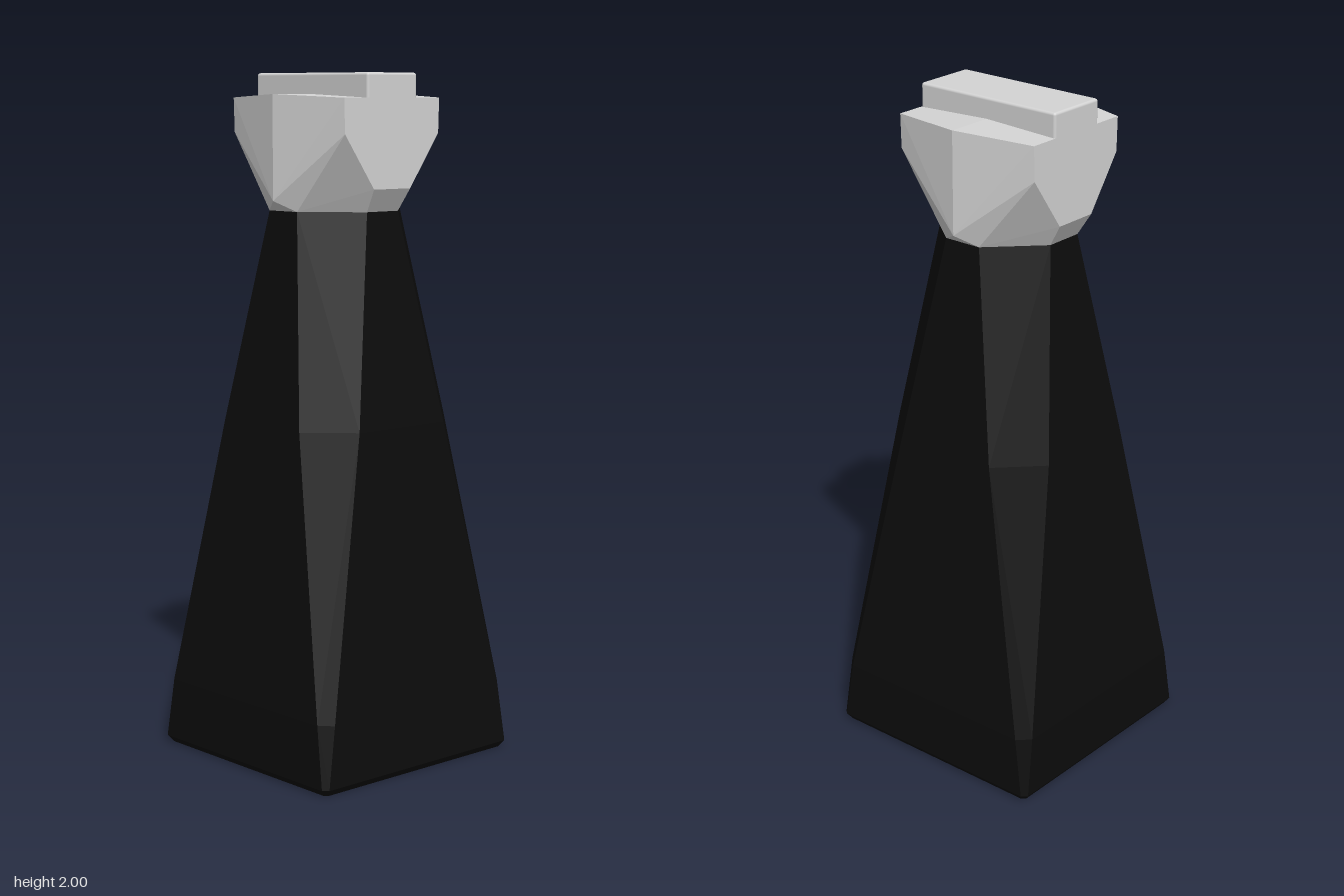
import * as THREE from 'three';
import { ConvexGeometry } from 'three/addons/geometries/ConvexGeometry.js';
import { RoundedBoxGeometry } from 'three/addons/geometries/RoundedBoxGeometry.js';

const black = new THREE.MeshStandardMaterial({ color: 0x0c0c0c });
black.name = 'black';
const lightGrey = new THREE.MeshStandardMaterial({ color: 0xd4d4d4 });
lightGrey.name = 'light grey';

// Mirrors each point in x and z
function mirrored(points) {
  const out = [];
  for (const [x, y, z] of points)
    for (const sx of x ? [1, -1] : [1])
      for (const sz of z ? [1, -1] : [1])
        out.push(new THREE.Vector3(x * sx, y, z * sz));
  return out;
}

function addMesh(group, name, geometry, material) {
  const mesh = new THREE.Mesh(geometry, material);
  mesh.name = name;
  group.add(mesh);
  return mesh;
}

export function createModel() {
  const model = new THREE.Group();
  model.name = 'taperedTower';

  // Body: square foot whose corners are cut away towards an octagonal neck
  const rings = [ // height, half width, half length of the flat side
    [0, 0.352, 0.34], [0.02, 0.367, 0.352], [0.2, 0.36, 0.325],
    [1.0, 0.285, 0.165], [1.61, 0.2, 0.06],
  ];
  const bodyPoints = rings.flatMap(([y, h, f]) => [[h, y, f], [f, y, h]]);
  addMesh(model, 'taperedBody', new ConvexGeometry(mirrored(bodyPoints)), black);

  // Head: faceted block with pointed sides, narrowing to the neck
  const headPoints = [
    [0.183, 1.93, 0.24], [0.18, 1.83, 0.24], [0.07, 1.675, 0.24],
    [0.06, 1.61, 0.2], [0.2, 1.61, 0.06],
    [0.238, 1.94, 0], [0.238, 1.64, 0],
  ];
  addMesh(model, 'facetedHead', new ConvexGeometry(mirrored(headPoints)), lightGrey);

  // Raised bar running front to back over the head
  const bar = addMesh(model, 'topBar', new RoundedBoxGeometry(0.19, 0.12, 0.48, 2, 0.008), lightGrey);
  bar.position.y = 1.94;

  return model;
}
